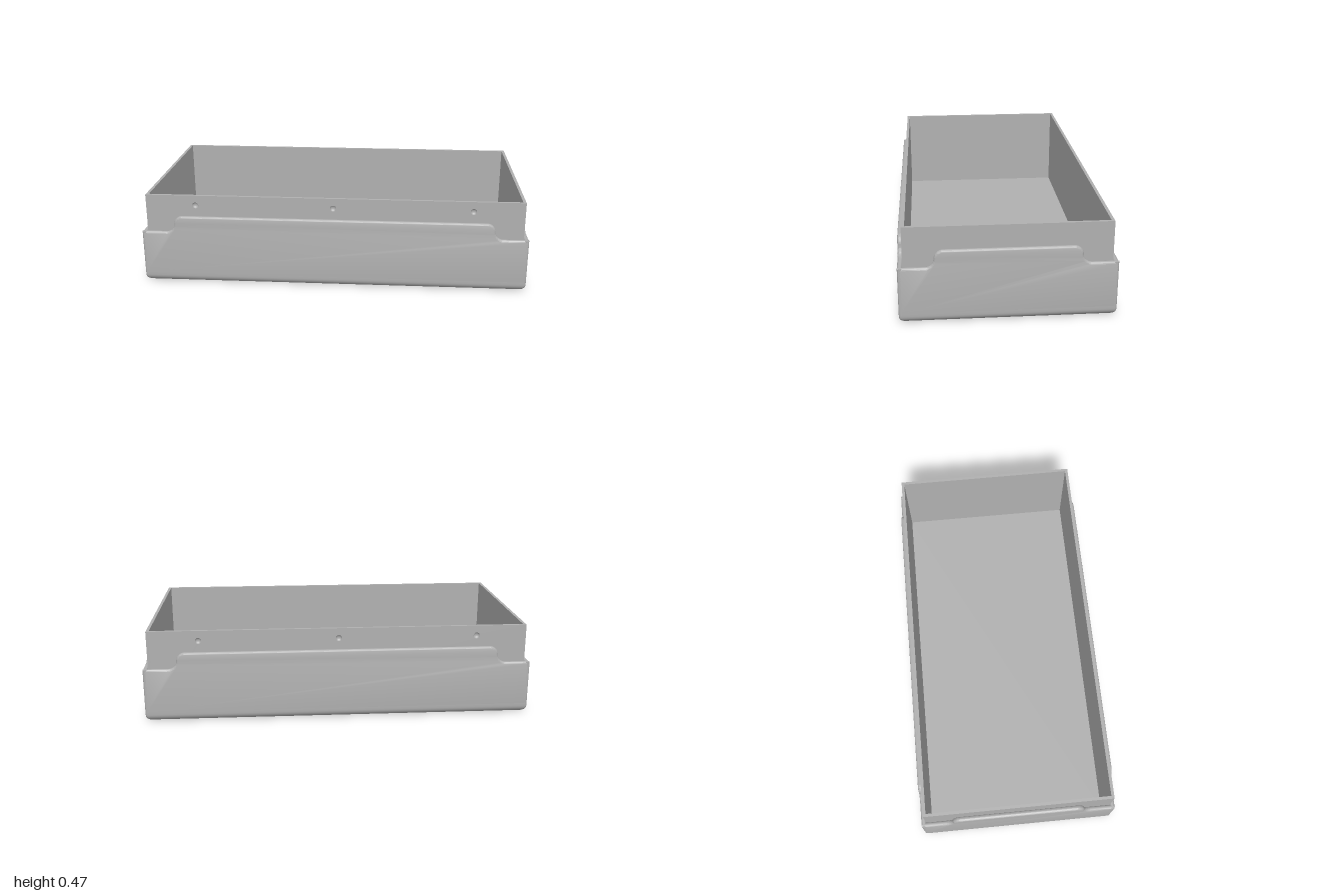
import * as THREE from 'three';
import { toCreasedNormals } from 'three/addons/utils/BufferGeometryUtils.js';

const HX = 1, HZ = 0.515;            // half sizes of the outer shell
const SHELL = 0.025, WALL = 0.015;   // thicknesses of shell and liner
const HEIGHT = 0.475, LEDGE = 0.28, CREST = 0.366;
const EDGE = 0.01;                   // small rounding of the shell edges

export function createModel() {
  const model = new THREE.Group();
  model.name = 'openTray';
  const grey = new THREE.MeshStandardMaterial({ color: 0xb0b0b0 });
  grey.name = 'grey';
  const dimpleGrey = grey.clone();
  dimpleGrey.name = 'grey two-sided';
  dimpleGrey.side = THREE.DoubleSide;

  function add(name, geometry, parent = model, material = grey) {
    const mesh = new THREE.Mesh(geometry, material);
    mesh.name = name;
    parent.add(mesh);
    return mesh;
  }

  // Base: rounded lower edge swept around the rectangle
  function baseGeometry() {
    const R = 0.035, rings = [];
    for (let i = 0; i <= 6; i++) {
      const a = (i / 6) * Math.PI / 2;
      rings.push([R * (1 - Math.sin(a)), R * (1 - Math.cos(a))]);
    }
    rings.push([0, 0.05]);
    const pos = [], idx = [], n = 16;
    for (const [inset, y] of rings) {
      for (let c = 0; c < 4; c++) {
        const sx = c === 0 || c === 3 ? 1 : -1, sz = c < 2 ? 1 : -1;
        for (let k = 0; k < 4; k++) {
          const a = (c + k / 3) * Math.PI / 2;
          pos.push(sx * (HX - inset - EDGE) + EDGE * Math.cos(a), y,
            sz * (HZ - inset - EDGE) + EDGE * Math.sin(a));
        }
      }
    }
    for (let r = 0; r < rings.length - 1; r++) {
      for (let k = 0; k < n; k++) {
        const a = r * n + k, b = r * n + (k + 1) % n;
        idx.push(a, a + n, b, b, a + n, b + n);
      }
    }
    const centre = pos.length / 3;
    pos.push(0, 0, 0);
    for (let k = 0; k < n; k++) idx.push(centre, k, (k + 1) % n);
    const g = new THREE.BufferGeometry();
    g.setAttribute('position', new THREE.Float32BufferAttribute(pos, 3));
    g.setIndex(idx);
    return toCreasedNormals(g, 0.6);
  }

  // Shell panel: low ledges at the ends, S-curves up to a raised middle
  function panelGeometry(half, crestHalf) {
    const r = (CREST - LEDGE) / 2, s = new THREE.Shape();
    s.moveTo(-half, 0.04);
    s.lineTo(half, 0.04);
    s.lineTo(half, LEDGE);
    s.lineTo(crestHalf + 2 * r, LEDGE);
    s.absarc(crestHalf + 2 * r, LEDGE + r, r, -Math.PI / 2, -Math.PI, true);
    s.absarc(crestHalf, LEDGE + r, r, 0, Math.PI / 2, false);
    s.lineTo(-crestHalf, CREST);
    s.absarc(-crestHalf, LEDGE + r, r, Math.PI / 2, Math.PI, false);
    s.absarc(-crestHalf - 2 * r, LEDGE + r, r, 0, -Math.PI / 2, true);
    s.lineTo(-half, LEDGE);
    s.closePath();
    const g = new THREE.ExtrudeGeometry(s, {
      depth: SHELL - 2 * EDGE, bevelThickness: EDGE, bevelSize: EDGE,
      bevelOffset: -EDGE, bevelSegments: 3, curveSegments: 10,
    });
    g.translate(0, 0, -SHELL + EDGE);   // outer face at z = 0
    return toCreasedNormals(g, 0.6);
  }

  // Liner wall with optional blind dimples, outer face at z = 0
  function addWall(parent, half, dimples) {
    const skin = 0.003, low = 0.01, r = 0.016, y = 0.422;
    const s = new THREE.Shape();
    s.moveTo(-half, low);
    s.lineTo(half, low);
    s.lineTo(half, HEIGHT);
    s.lineTo(-half, HEIGHT);
    s.closePath();
    for (const x of dimples) {
      const hole = new THREE.Path();
      hole.absarc(x, y, r, 0, Math.PI * 2, true);
      s.holes.push(hole);
      const bowl = new THREE.SphereGeometry(r, 20, 8, 0, Math.PI * 2, 0, Math.PI / 2);
      bowl.rotateX(-Math.PI / 2);
      bowl.scale(1, 1, 0.7);
      bowl.translate(x, y, 0);
      add('dimple', bowl, parent, dimpleGrey).position.z = -SHELL;
    }
    const outer = new THREE.ExtrudeGeometry(s,
      { depth: WALL - skin, bevelEnabled: false, curveSegments: 20 });
    add('linerWall', outer, parent).position.z = -SHELL - WALL + skin;
    const inner = new THREE.BoxGeometry(half * 2, HEIGHT - low, skin);
    add('linerInnerFace', inner, parent)
      .position.set(0, (HEIGHT + low) / 2, -SHELL - WALL + skin / 2);
  }

  add('base', baseGeometry());
  add('floor', new THREE.BoxGeometry(1.94, 0.01, 0.97)).position.y = 0.011;

  // Four sides: panel and liner wall, turned to face outwards
  const sides = [
    ['frontSide', 0, HX, HZ, 0.785, [-0.715, 0, 0.715]],
    ['leftSide', 1, HZ, HX, 0.303, []],
    ['backSide', 2, HX, HZ, 0.785, [-0.715, 0, 0.715]],
    ['rightSide', 3, HZ, HX, 0.303, []],
  ];
  for (const [name, turn, half, reach, crestHalf, dimples] of sides) {
    const side = new THREE.Group();
    side.name = name;
    const angle = turn * Math.PI / 2;
    side.rotation.y = angle;
    side.position.set(Math.sin(angle) * reach, 0, Math.cos(angle) * reach);
    add('shellPanel', panelGeometry(half, crestHalf), side);
    addWall(side, half - SHELL, dimples);
    model.add(side);
  }
  return model;
}
